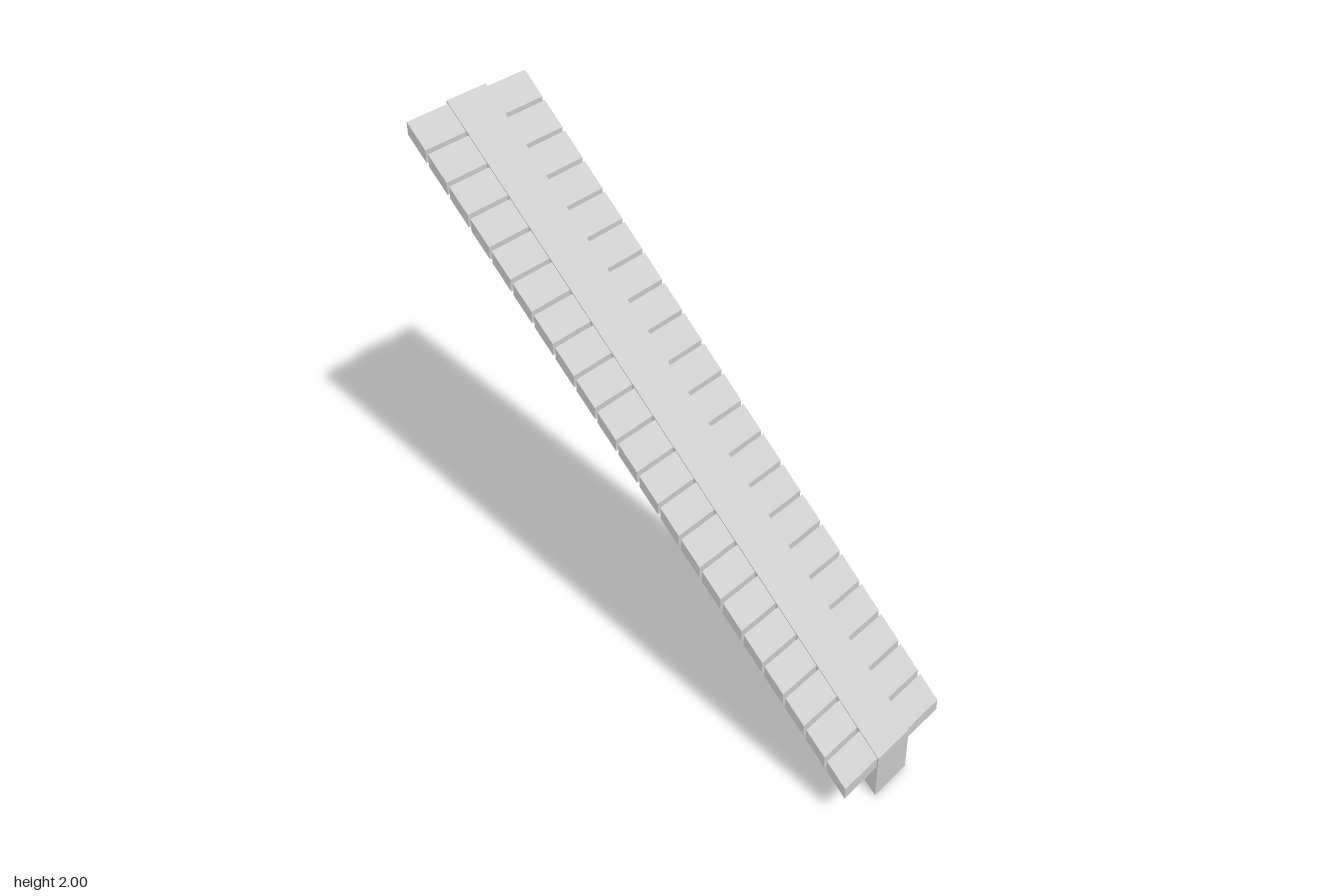
import * as THREE from 'three';

const SLOPE = 0.955; // rise per unit of depth, climbing towards the back
const END = 0.953; // half depth of the beam
const BEAM_X = 0.09; // half width of the beam
const SIDE_X = 0.272; // outer edge of the treads
const COUNT = 21, TREAD = 0.08, PITCH = 0.0908;

const topAt = z => 2 - SLOPE * (z + END);

export function createModel() {
  const model = new THREE.Group();
  const material = new THREE.MeshStandardMaterial({ color: 0xcccccc });

  // Sloped slab with vertical ends, spanning z0..z1 and x0..x1
  function slab(name, z0, z1, x0, x1, drop, height) {
    const shape = new THREE.Shape([
      new THREE.Vector2(z0, topAt(z0) - drop - height),
      new THREE.Vector2(z1, topAt(z1) - drop - height),
      new THREE.Vector2(z1, topAt(z1) - drop),
      new THREE.Vector2(z0, topAt(z0) - drop),
    ]);
    const geometry = new THREE.ExtrudeGeometry(shape, { depth: x1 - x0, bevelEnabled: false });
    geometry.rotateY(-Math.PI / 2).translate(x1, 0, 0);
    const mesh = new THREE.Mesh(geometry, material);
    mesh.name = name;
    return mesh;
  }

  // Central inclined beam
  model.add(slab('beam', -END, END, -BEAM_X, BEAM_X, 0, 0.18));

  // Rows of separate treads along both sides
  for (const side of [1, -1]) {
    const row = new THREE.Group();
    row.name = side > 0 ? 'leftTreads' : 'rightTreads';
    const x0 = side > 0 ? BEAM_X : -SIDE_X;
    for (let i = 0; i < COUNT; i++) {
      const z = (i - (COUNT - 1) / 2) * PITCH;
      row.add(slab('tread', z - TREAD / 2, z + TREAD / 2, x0, x0 + SIDE_X - BEAM_X, 0.005, 0.045));
    }
    model.add(row);
  }
  return model;
}
